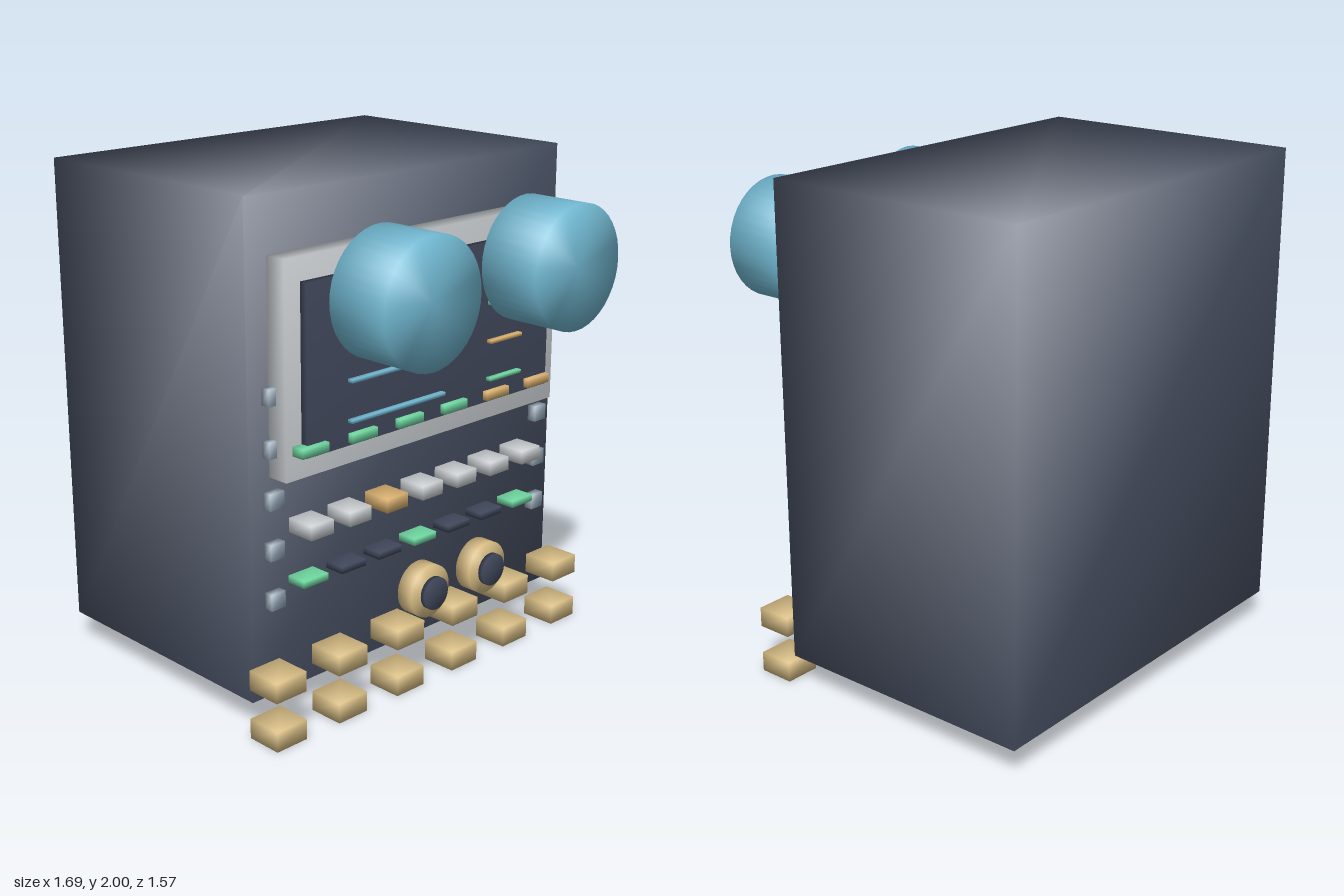
import * as THREE from 'three';
import { mergeVertices } from 'three/addons/utils/BufferGeometryUtils.js';

const paint = (name, color) => {
  const m = new THREE.MeshStandardMaterial({ color });
  m.name = name;
  return m;
};

// Weld the corners so that shading runs smoothly across the edges
function soften(geometry) {
  geometry.deleteAttribute('uv');
  geometry.deleteAttribute('normal');
  const welded = mergeVertices(geometry, 1e-5);
  welded.computeVertexNormals();
  return welded;
}

export function createModel() {
  const slate = paint('slate', 0x4b5467);
  const dark = paint('darkSlate', 0x41485c);
  const black = paint('footBlack', 0x2e3044);
  const silver = paint('silver', 0xcdd1d4);
  const steel = paint('steelBlue', 0x8d9eac);
  const sky = paint('skyBlue', 0x70b6cf);
  const green = paint('green', 0x6fd6a0);
  const gold = paint('gold', 0xd9be85);
  const amber = paint('amber', 0xd9b070);

  const model = new THREE.Group();
  model.name = 'consoleCabinet';

  const add = (name, geometry, material, x, y, z) => {
    const mesh = new THREE.Mesh(soften(geometry), material);
    mesh.name = name;
    mesh.position.set(x, y, z);
    model.add(mesh);
  };
  // Box centred on x and y, reaching from z0 to z1
  const box = (name, mat, x, y, w, h, z0, z1) =>
    add(name, new THREE.BoxGeometry(w, h, z1 - z0), mat, x, y, (z0 + z1) / 2);
  // Disc facing the front, reaching from z0 to z1
  const disc = (name, mat, x, y, r, z0, z1) =>
    add(name, new THREE.CylinderGeometry(r, r, z1 - z0, 40).rotateX(Math.PI / 2), mat, x, y, (z0 + z1) / 2);

  const cx = 0.0125; // the cabinet sits slightly off centre

  // Cabinet, screen frame and screen
  box('cabinet', slate, cx, 1.06, 1.645, 1.88, -0.784, 0.313);
  box('screenFrame', silver, cx, 1.383, 1.448, 0.806, 0.31, 0.403);
  box('screen', dark, cx, 1.38, 1.3, 0.635, 0.4, 0.434);

  // Lines on the screen
  [1.61, 1.46, 1.308, 1.157].forEach((y, i) => {
    box('longLine', sky, -0.195, y, 0.488, 0.014, 0.43, 0.456);
    box('shortLine', i % 2 ? green : amber, 0.394, y, 0.18, 0.014, 0.43, 0.456);
  });

  // Row of indicator lights under the screen
  for (let i = 0; i < 6; i++)
    box('indicator', i < 4 ? green : amber, -0.616 + i * 0.242, 1.092, 0.128, 0.036, 0.396, 0.456);

  // Two rows of keys
  for (let i = 0; i < 7; i++) {
    const x = -0.567 + i * 0.193;
    box('key', i === 2 ? amber : silver, x, 0.772, 0.11, 0.056, 0.31, 0.434);
    box('keyLight', i % 3 ? dark : green, x, 0.561, 0.122, 0.028, 0.31, 0.398);
  }

  // Large drums and small knobs in front of the panel
  for (const side of [-1, 1]) {
    disc('drum', sky, cx + side * 0.387, 1.64, 0.241, 0.525, 0.784);
    const x = cx + side * 0.161;
    disc('knob', gold, x, 0.447, 0.104, 0.508, 0.576);
    disc('knobCap', dark, x, 0.447, 0.064, 0.589, 0.609);

    // Column of fasteners along the panel edge
    for (let i = 0; i < 5; i++)
      box('fastener', steel, cx + side * 0.725, 0.513 + i * 0.194, 0.067, 0.064, 0.318, 0.355);
  }

  // Two rows of front blocks
  for (let i = 0; i < 6; i++)
    for (const y of [0.04, 0.235])
      box('frontBlock', gold, -0.773 + i * 0.309, y, 0.145, 0.08, 0.339, 0.487);

  // Feet under the rear of the cabinet
  for (let i = 0; i < 4; i++)
    box('foot', black, -0.548 + i * 0.369, 0.11, 0.275, 0.028, -0.737, -0.248);

  return model;
}
